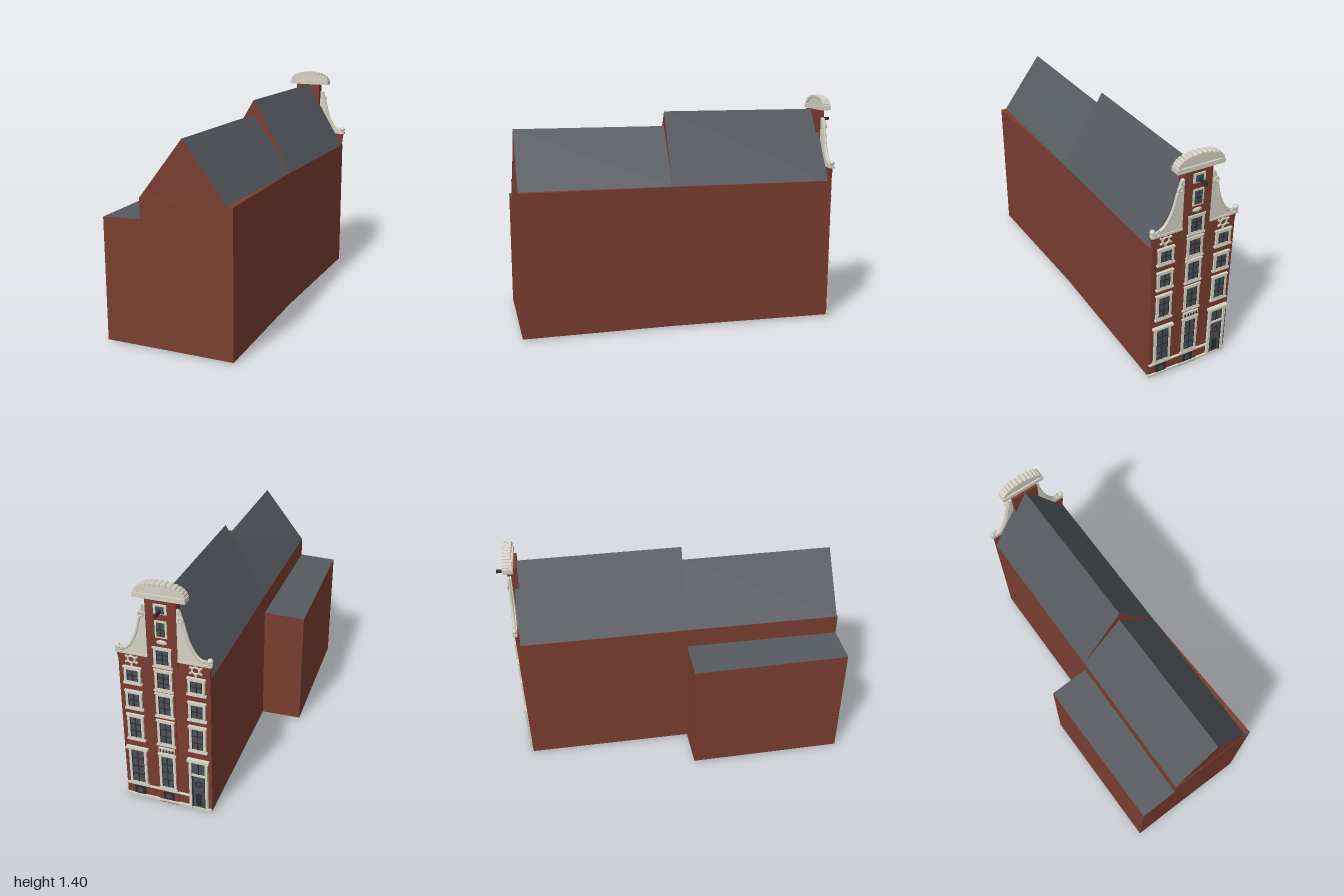
import * as THREE from 'three';

const mat = (name, color) => {
  const m = new THREE.MeshStandardMaterial({ color, side: THREE.DoubleSide });
  m.name = name;
  return m;
};

export function createModel() {
  const brick = mat('brick red', 0x7a3d2f);
  const slate = mat('roof slate', 0x555a5f);
  const stone = mat('pale stone', 0xd6d2c4);
  const glass = mat('window glass', 0x4a5157);
  const dark = mat('dark wood', 0x2a2e31);

  const model = new THREE.Group();
  model.name = 'gabledTownHouse';
  const add = (parent, name, geo, m, x = 0, y = 0, z = 0) => {
    const mesh = new THREE.Mesh(geo, m);
    mesh.name = name;
    mesh.position.set(x, y, z);
    parent.add(mesh);
    return mesh;
  };
  // Upright prism on a plan outline of [x, z] corners
  const prism = (name, plan, h, m) => {
    const s = new THREE.Shape(plan.map(([x, z]) => new THREE.Vector2(x, -z)));
    const g = new THREE.ExtrudeGeometry(s, { depth: h, bevelEnabled: false });
    return add(model, name, g.rotateX(-Math.PI / 2), m);
  };
  // Flat convex face
  const face = (name, pts, m) => {
    const v = [];
    for (let i = 1; i < pts.length - 1; i++) v.push(...pts[0], ...pts[i], ...pts[i + 1]);
    const g = new THREE.BufferGeometry();
    g.setAttribute('position', new THREE.Float32BufferAttribute(v, 3));
    g.computeVertexNormals();
    return add(model, name, g, m);
  };

  // Brick volumes
  const EAVE = 0.87;
  const A = [0.985, -0.425], B = [0.658, -0.825];
  const midS = [0.2, 0.225], midN = [-0.12, -0.18];
  const D = [-0.48, 0.835], E = [-0.845, 0.415], F = [-1, 0.24], G = [-0.285, -0.365];
  prism('houseWalls', [A, B, midN, E, D, midS], EAVE, brick);
  prism('annexWalls', [midN, G, F, E], 0.735, brick);

  // Annex lean-to roof
  const at = ([x, z], y) => [x, y, z];
  face('annexRoof', [at(F, 0.737), at(E, 0.748), at(midN, 0.748), at(G, 0.737)], slate);
  face('annexRoofEndRear', [at(F, 0.735), at(E, 0.735), at(E, 0.748)], brick);
  face('annexRoofEndFront', [at(G, 0.735), at(midN, 0.735), at(midN, 0.748)], brick);

  // Pitched roofs with brick gable ends; each end is [south eave, ridge, north eave]
  const pitched = (name, a, b) => {
    face(name + 'SouthSlope', [a[0], b[0], b[1], a[1]], slate);
    face(name + 'NorthSlope', [a[1], b[1], b[2], a[2]], slate);
    face(name + 'FrontGable', a, brick);
    face(name + 'RearGable', [b[2], b[1], b[0]], brick);
  };
  const ends = (s, r, n, top) => [at(s, EAVE + 0.002), at(r, top), at(n, EAVE + 0.002)];
  pitched('frontRoof', ends([0.967, -0.412], [0.802, -0.61], [0.648, -0.815], 1.3),
    ends(midS, [0.04, 0.022], midN, 1.3));
  pitched('rearRoof', ends(midS, [0.04, 0.022], midN, 1.21),
    ends([-0.502, 0.808], [-0.67, 0.612], [-0.84, 0.412], 1.21));

  // Street facade: local x runs along it, local z points outward
  const facade = new THREE.Group();
  facade.name = 'facade';
  facade.position.set(0.8215, 0, -0.625);
  facade.rotation.y = Math.atan2(0.774, -0.633);
  model.add(facade);
  const box = (name, x, y, z, w, h, d, m, parent = facade) =>
    add(parent, name, new THREE.BoxGeometry(w, h, d), m, x, y, z);
  const extrude = (name, shape, depth, m, z = 0, parent = facade) =>
    add(parent, name, new THREE.ExtrudeGeometry(shape, { depth, bevelEnabled: false, curveSegments: 16 }), m, 0, 0, z);
  const poly = (pts) => new THREE.Shape(pts.map((p) => new THREE.Vector2(...p)));

  extrude('facadeWall', poly([[-0.256, 0], [0.256, 0], [0.256, 0.9], [0.264, 0.95], [-0.264, 0.95], [-0.256, 0.9]]), 0.022, brick, -0.02);
  extrude('neckWall', poly([[-0.084, 0.9], [0.084, 0.9], [0.084, 1.3], [-0.084, 1.3]]), 0.055, brick, -0.045);
  box('centrePilaster', 0, 0.64, 0.003, 0.12, 1.3, 0.008, brick);

  // Concave gable wings with a moulded rim, scrolls and end balls
  for (const s of [-1, 1]) {
    const side = s < 0 ? 'left' : 'right';
    const rim = [[0.268, 0.965], [0.2, 0.988], [0.148, 1.07], [0.121, 1.165], [0.098, 1.245]];
    const wing = new THREE.Shape();
    wing.moveTo(s * 0.084, 0.95);
    wing.lineTo(s * 0.268, 0.95);
    wing.lineTo(s * 0.268, 0.965);
    wing.splineThru(rim.slice(1).map(([x, y]) => new THREE.Vector2(s * x, y)));
    wing.lineTo(s * 0.084, 1.25);
    extrude(side + 'Wing', wing, 0.02, stone, -0.012);
    const curve = new THREE.CatmullRomCurve3(rim.map(([x, y]) => new THREE.Vector3(s * x, y, 0.003)));
    add(facade, side + 'WingRim', new THREE.TubeGeometry(curve, 24, 0.009, 6), stone);
    add(facade, side + 'UpperScroll', new THREE.TorusGeometry(0.013, 0.006, 6, 14), stone, s * 0.108, 1.2, 0.012);
    add(facade, side + 'LowerScroll', new THREE.TorusGeometry(0.014, 0.006, 6, 14), stone, s * 0.235, 0.972, 0.01);
    add(facade, side + 'EndBall', new THREE.SphereGeometry(0.016, 10, 8), stone, s * 0.258, 0.982, -0.002);
    box(side + 'WingCornice', s * 0.177, 0.955, 0.003, 0.186, 0.012, 0.02, stone);

    // Star rosette above each side column
    const star = new THREE.Group();
    star.name = side + 'Rosette';
    star.position.set(s * 0.18, 0.915, 0.006);
    facade.add(star);
    add(star, 'ring', new THREE.TorusGeometry(0.02, 0.006, 6, 16), stone);
    for (let i = 0; i < 6; i++) {
      const a = Math.PI / 6 + (i * Math.PI) / 3;
      const ray = box('ray', 0.032 * Math.cos(a), 0.032 * Math.sin(a), 0, 0.016, 0.01, 0.008, stone, star);
      ray.rotation.z = a;
    }
  }

  // Arched crown on top of the neck
  box('crownCornice', 0, 1.313, 0, 0.284, 0.026, 0.06, stone);
  const arch = new THREE.Shape();
  arch.moveTo(0.132, 1.32);
  arch.absellipse(0, 1.325, 0.13, 0.06, 0, Math.PI, false, 0);
  extrude('crownArch', arch, 0.04, stone, -0.02);
  for (let i = 0; i <= 14; i++) {
    const a = (i / 14) * Math.PI;
    const scallop = add(facade, 'crownScallop', new THREE.CylinderGeometry(0.012, 0.012, 0.052, 8), stone,
      0.128 * Math.cos(a), 1.325 + 0.054 * Math.sin(a), 0);
    scallop.rotation.x = Math.PI / 2;
  }

  // Sash window: stone frame around glass with dark glazing bars
  const sash = (name, x, y0, y1, w, rows, border = 0.015) => {
    const g = new THREE.Group();
    g.name = name;
    g.position.set(x, (y0 + y1) / 2, 0);
    facade.add(g);
    const h = y1 - y0, iw = w - 2 * border, ih = h - 2 * border;
    const rect = (a, b) => [[-a / 2, -b / 2], [a / 2, -b / 2], [a / 2, b / 2], [-a / 2, b / 2]];
    const frame = poly(rect(w, h));
    frame.holes.push(new THREE.Path(rect(iw, ih).map((p) => new THREE.Vector2(...p))));
    extrude('frame', frame, 0.012, stone, 0.003, g);
    box('glass', 0, 0, 0.008, iw, ih, 0.006, glass, g);
    box('mullion', 0, 0, 0.0115, 0.006, ih, 0.003, dark, g);
    for (let i = 1; i < rows; i++) box('glazingBar', 0, -ih / 2 + (ih * i) / rows, 0.0115, iw, 0.005, 0.003, dark, g);
    for (const s of [-1, 1]) {
      box('jambEdge', s * (iw / 2 - 0.002), 0, 0.0115, 0.004, ih, 0.003, dark, g);
    }
    box('sill', 0, -h / 2, 0.009, w + 0.014, 0.01, 0.018, stone, g);
    box('lintel', 0, h / 2, 0.009, w + 0.01, 0.009, 0.016, stone, g);
  };
  const rowsCentre = [[0.094, 0.335, 4], [0.4, 0.562, 3], [0.589, 0.735, 3], [0.755, 0.882, 3], [0.903, 1.018, 3]];
  rowsCentre.forEach(([a, b, n], i) => sash('centreWindow' + i, 0, a, b, 0.098, n));
  const rowsSide = [[0.4, 0.562, 3], [0.605, 0.717, 2], [0.768, 0.867, 2]];
  for (const x of [-0.178, 0.183]) rowsSide.forEach(([a, b, n], i) => sash('sideWindow' + i, x, a, b, 0.095, n));
  sash('parlourWindow', -0.178, 0.09, 0.34, 0.105, 4);
  box('parlourHood', -0.178, 0.34, 0.012, 0.13, 0.014, 0.024, stone);
  const neck = new THREE.Group();
  neck.name = 'neckOpenings';
  neck.position.z = 0.008;
  facade.add(neck);
  box('loftFrame', 0, 1.128, 0.004, 0.066, 0.098, 0.008, stone, neck);
  box('loftGlass', 0, 1.128, 0.007, 0.046, 0.08, 0.006, glass, neck);
  box('loftBar', 0, 1.128, 0.009, 0.005, 0.08, 0.004, dark, neck);
  box('loftRail', 0, 1.128, 0.009, 0.046, 0.005, 0.004, dark, neck);
  box('hoistFrame', 0, 1.243, 0.004, 0.072, 0.056, 0.008, stone, neck);
  box('hoistGlass', 0, 1.24, 0.007, 0.045, 0.04, 0.006, glass, neck);
  box('hoistBeam', 0, 1.236, 0.035, 0.014, 0.016, 0.07, dark, neck);
  const oval = add(neck, 'ovalOrnament', new THREE.SphereGeometry(0.02, 12, 8), stone, 0, 1.05, 0);
  oval.scale.set(1.6, 0.75, 0.4);

  // Carved plaque over the ground floor
  box('plaque', 0, 0.363, 0.009, 0.095, 0.036, 0.014, stone);
  for (let i = -2; i <= 2; i++) box('plaqueCarving', i * 0.018, 0.363, 0.016, 0.009, 0.018, 0.004, dark);

  // Street door with fanlight
  const DX = 0.183;
  for (const s of [-1, 1]) box('doorPost', DX + s * 0.047, 0.168, 0.01, 0.014, 0.335, 0.02, stone);
  box('doorHood', DX, 0.338, 0.013, 0.125, 0.016, 0.028, stone);
  box('fanlight', DX, 0.285, 0.006, 0.08, 0.085, 0.008, glass);
  box('fanlightBar', DX, 0.285, 0.01, 0.006, 0.085, 0.005, dark);
  box('doorTransom', DX, 0.238, 0.009, 0.09, 0.012, 0.016, stone);
  box('door', DX, 0.12, 0.006, 0.08, 0.224, 0.008, glass);
  for (const s of [-1, 1]) box('doorEdge', DX + s * 0.036, 0.12, 0.01, 0.008, 0.224, 0.005, dark);
  box('doorPanel', DX, 0.065, 0.01, 0.035, 0.08, 0.005, dark);
  add(facade, 'doorWreath', new THREE.TorusGeometry(0.018, 0.004, 6, 16), dark, DX, 0.175, 0.011);

  // Plinth, string course and basement lights
  box('plinth', -0.004, 0.006, 0.006, 0.52, 0.012, 0.016, stone);
  box('stringCourse', -0.065, 0.082, 0.006, 0.385, 0.008, 0.016, stone);
  for (const x of [-0.178, 0]) {
    box('basementLight', x, 0.04, 0.006, 0.065, 0.05, 0.008, dark);
    box('basementPane', x, 0.04, 0.0095, 0.03, 0.03, 0.004, glass);
  }
  return model;
}
